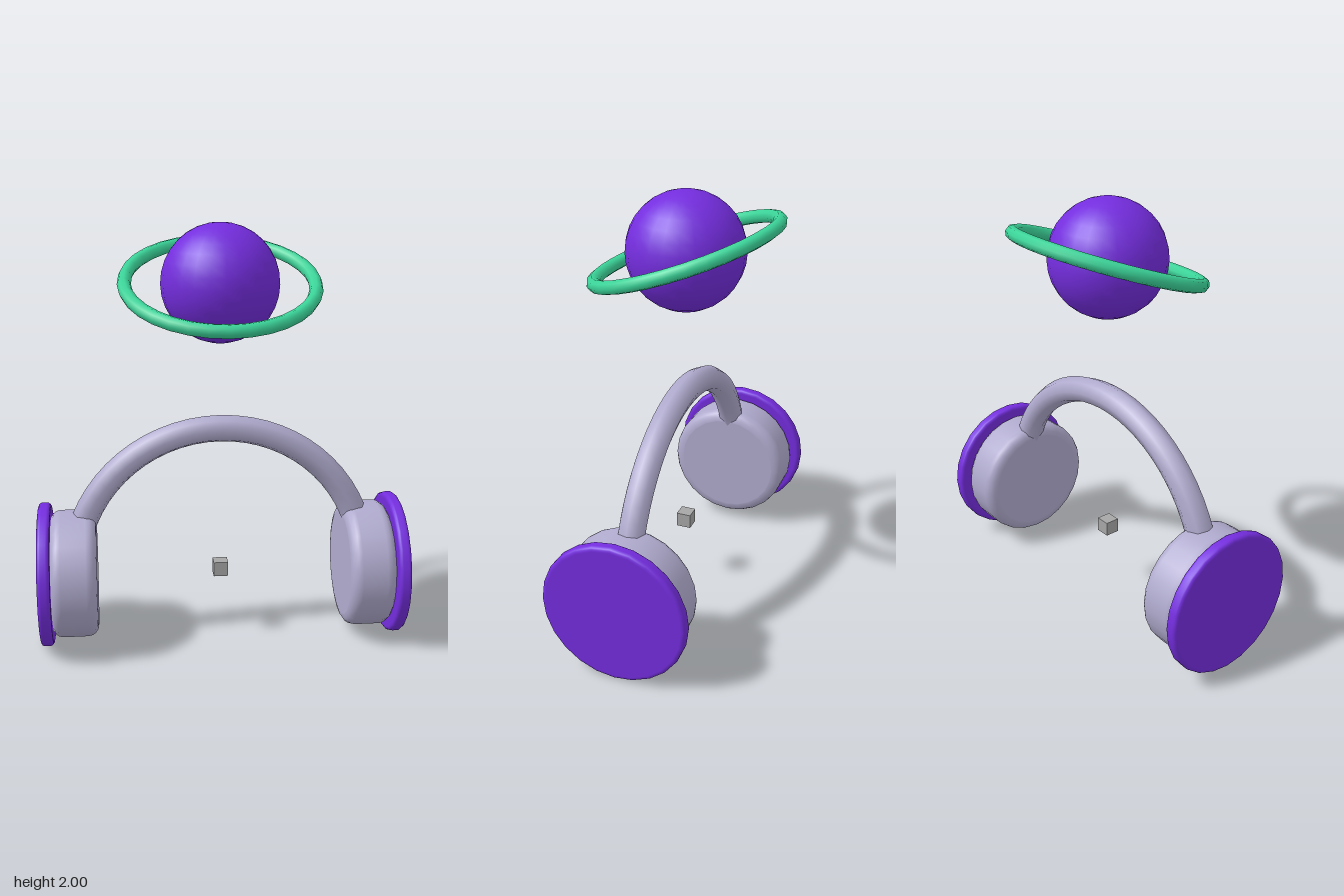
import * as THREE from 'three';

const CUP_Y = 0.345;
const PLANET_Y = 1.727;

const material = (name, color) => {
  const m = new THREE.MeshStandardMaterial({ color });
  m.name = name;
  return m;
};

// Disc along x from x0 to x1 with rounded rims
function roundedDisc(x0, x1, radius, bevel, sides) {
  const h = x1 - x0, steps = 4, inner = radius - bevel;
  const pts = [new THREE.Vector2(0, 0), new THREE.Vector2(inner - 0.004, 0)];
  for (let i = 0; i <= steps; i++) {
    const a = (i / steps) * Math.PI / 2;
    pts.push(new THREE.Vector2(inner + bevel * Math.sin(a), bevel - bevel * Math.cos(a)));
  }
  for (let i = 0; i <= steps; i++) {
    const a = (i / steps) * Math.PI / 2;
    pts.push(new THREE.Vector2(inner + bevel * Math.cos(a), h - bevel + bevel * Math.sin(a)));
  }
  pts.push(new THREE.Vector2(inner - 0.004, h), new THREE.Vector2(0, h));
  return new THREE.LatheGeometry(pts, sides).rotateZ(-Math.PI / 2).translate(x0, 0, 0);
}

export function createModel() {
  const model = new THREE.Group();
  model.name = 'headphonesWithPlanet';

  const lilac = material('lilac grey', 0xb0abce);
  const purple = material('purple', 0x742dde);
  const green = material('mint green', 0x3bd499);
  const grey = material('grey', 0xa6a6a6);

  const add = (parent, name, geometry, mat, y = 0) => {
    const mesh = new THREE.Mesh(geometry, mat);
    mesh.name = name;
    mesh.position.y = y;
    parent.add(mesh);
    return mesh;
  };

  // Headband: half ring whose ends sit inside the ear cups
  add(model, 'headband', new THREE.TorusGeometry(0.7, 0.064, 8, 32, Math.PI), lilac, CUP_Y);

  // Ear cups, the right one turned half a circle
  for (const [side, turn] of [['left', 0], ['right', Math.PI]]) {
    const ear = new THREE.Group();
    ear.name = side + 'Ear';
    ear.position.y = CUP_Y;
    ear.rotation.y = turn;
    add(ear, side + 'Cushion', roundedDisc(0.593, 0.81, 0.304, 0.05, 24), lilac);
    add(ear, side + 'OuterPlate', roundedDisc(0.806, 0.865, 0.342, 0.018, 24), purple);
    model.add(ear);
  }

  // Small cube between the cups
  add(model, 'centreCube', new THREE.BoxGeometry(0.07, 0.07, 0.07), grey, 0.347);

  // Floating planet and its ring, tilted down at the front
  add(model, 'planet', new THREE.SphereGeometry(0.273, 24, 16), purple, PLANET_Y);
  const ring = add(model, 'planetRing', new THREE.TorusGeometry(0.436, 0.032, 8, 32), green, PLANET_Y);
  ring.rotation.x = -THREE.MathUtils.degToRad(70);

  return model;
}
